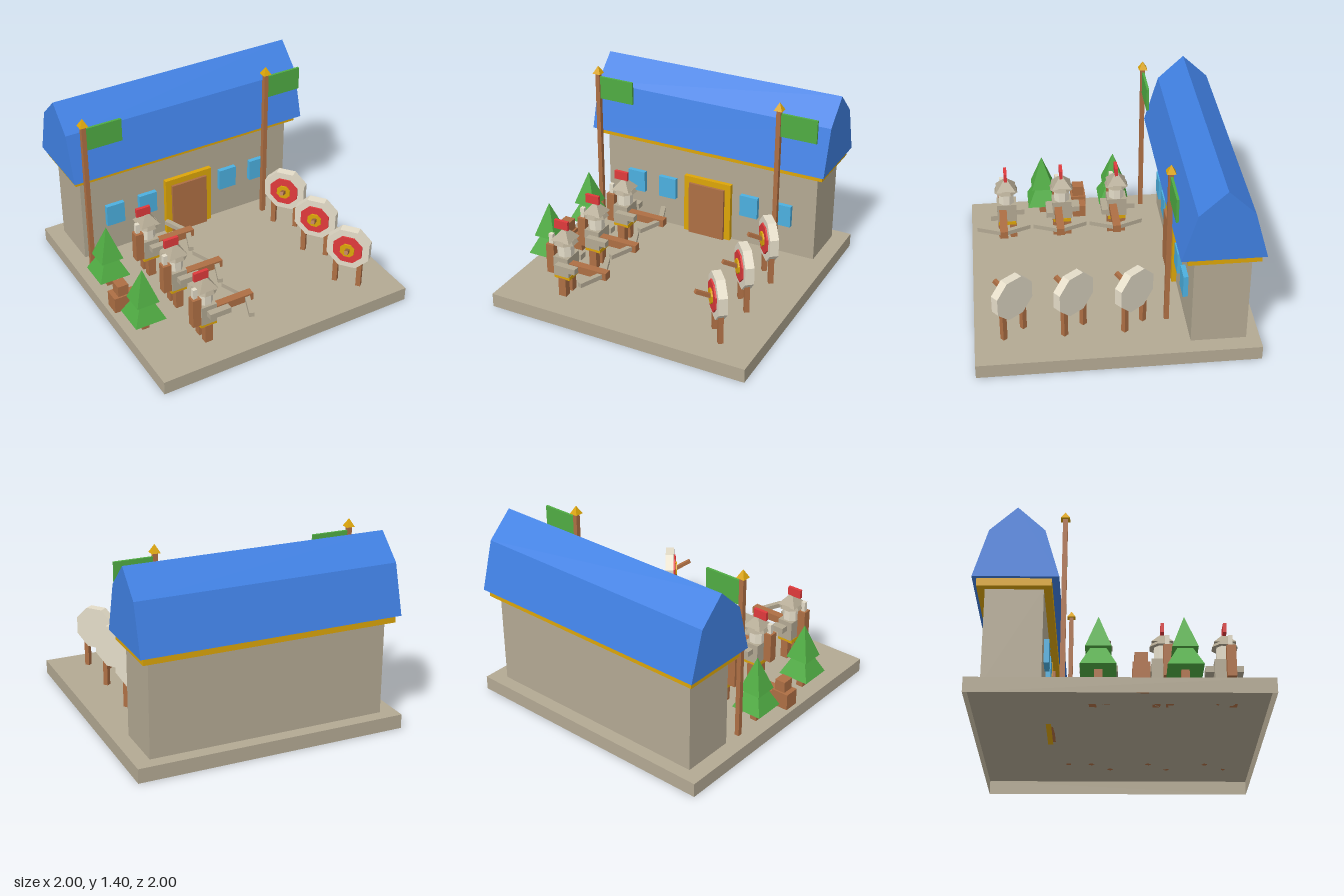
import * as THREE from 'three';

const mat = (name, color) => Object.assign(new THREE.MeshStandardMaterial({ color }), { name });
const M = {
  stone: mat('stone', 0xb3a993),
  pale: mat('pale stone', 0xe4dcc8),
  roof: mat('blue roof', 0x4080e2),
  gold: mat('gold', 0xdca509),
  wood: mat('wood', 0xae6f44),
  green: mat('green', 0x50ac43),
  red: mat('red', 0xe03a3c),
  glass: mat('window blue', 0x4cb0e0),
};
M.stone.side = THREE.DoubleSide; // the base is an open shell

function add(parent, name, geometry, material, x = 0, y = 0, z = 0) {
  const mesh = new THREE.Mesh(geometry, material);
  mesh.name = name;
  mesh.position.set(x, y, z);
  parent.add(mesh);
  return mesh;
}

// Box given by its extents on each axis
function box(parent, name, material, [x0, x1], [y0, y1], [z0, z1]) {
  return add(parent, name, new THREE.BoxGeometry(x1 - x0, y1 - y0, z1 - z0), material,
    (x0 + x1) / 2, (y0 + y1) / 2, (z0 + z1) / 2);
}

// Faceted prism or cone with a flat side facing front; radii are to the flats
function prism(rTop, rBottom, height, sides) {
  const k = 1 / Math.cos(Math.PI / sides);
  const g = new THREE.CylinderGeometry(rTop * k, rBottom * k, height, sides).toNonIndexed();
  g.computeVertexNormals();
  return g.rotateY(Math.PI / sides);
}

function group(parent, name, x = 0, y = 0, z = 0) {
  const g = new THREE.Group();
  g.name = name;
  g.position.set(x, y, z);
  parent.add(g);
  return g;
}

const GROUND = 0.105;

// Slab that is hollow underneath: a box without its bottom face
function buildBase(parent) {
  const slab = new THREE.BoxGeometry(2, GROUND, 2);
  const bottom = slab.groups[3];
  slab.setIndex([...slab.index.array].filter((_, i) => i < bottom.start || i >= bottom.start + bottom.count));
  slab.clearGroups();
  add(parent, 'base', slab, M.stone, 0, GROUND / 2, 0);
}

function buildHall(parent) {
  const hall = group(parent, 'hall');
  box(hall, 'walls', M.stone, [-0.88, 0.88], [GROUND, 0.81], [-0.903, -0.508]);
  box(hall, 'eavesTrim', M.gold, [-0.933, 0.933], [0.8, 0.855], [-0.957, -0.454]);

  // Roof with two slopes on each side
  const profile = new THREE.Shape([[-0.292, 0.855], [0.292, 0.855], [0.19, 1.21], [0, 1.39], [-0.19, 1.21]]
    .map(([s, y]) => new THREE.Vector2(s, y)));
  const roof = new THREE.ExtrudeGeometry(profile, { depth: 1.92, bevelEnabled: false });
  roof.translate(0, 0, -0.96).rotateY(Math.PI / 2);
  add(hall, 'roof', roof, M.roof, 0, 0, -0.695);

  box(hall, 'doorFrame', M.gold, [-0.197, 0.197], [GROUND, 0.583], [-0.51, -0.473]);
  box(hall, 'door', M.wood, [-0.148, 0.148], [GROUND, 0.535], [-0.5, -0.453]);
  for (const x of [-0.62, -0.348, 0.348, 0.62]) {
    box(hall, 'window', M.glass, [x - 0.073, x + 0.073], [0.35, 0.522], [-0.51, -0.473]);
  }
}

function buildFlagpole(parent, x) {
  const pole = group(parent, 'flagpole', x, 0, -0.373);
  box(pole, 'pole', M.wood, [-0.017, 0.017], [GROUND, 1.345], [-0.017, 0.017]);
  add(pole, 'finial', prism(0, 0.032, 0.06, 4), M.gold, 0, 1.37, 0);
  box(pole, 'flag', M.green, [0.015, 0.295], [1.137, 1.315], [-0.012, 0.006]);
}

function buildTree(parent, z) {
  const tree = group(parent, 'tree', -0.855, 0, z);
  box(tree, 'trunk', M.wood, [-0.027, 0.027], [GROUND, 0.23], [-0.027, 0.027]);
  add(tree, 'lowerFoliage', prism(0, 0.119, 0.25, 4), M.green, 0, 0.34, 0);
  add(tree, 'upperFoliage', prism(0, 0.086, 0.255, 4), M.green, 0, 0.4825, 0);
}

function buildCrates(parent) {
  const crates = group(parent, 'crates');
  box(crates, 'largeCrate', M.wood, [-0.968, -0.835], [GROUND, 0.23], [0.08, 0.195]);
  box(crates, 'smallCrate', M.wood, [-0.84, -0.738], [GROUND, 0.203], [0.088, 0.19]);
  box(crates, 'topCrate', M.wood, [-0.932, -0.85], [0.23, 0.315], [0.093, 0.182]);
}

function buildArcher(parent, z) {
  const archer = group(parent, 'archer', -0.535, 0, z);
  for (const s of [-1, 1]) {
    box(archer, 'leg', M.wood, [-0.03, 0.03], [GROUND, 0.25], [s * 0.045 - 0.026, s * 0.045 + 0.026]);
  }
  box(archer, 'belt', M.gold, [-0.062, 0.062], [0.245, 0.275], [-0.067, 0.067]);
  box(archer, 'torso', M.stone, [-0.06, 0.06], [0.272, 0.425], [-0.075, 0.075]);
  box(archer, 'leftArm', M.stone, [-0.02, 0.145], [0.347, 0.39], [0.075, 0.125]);
  box(archer, 'rightArm', M.stone, [-0.02, 0.078], [0.347, 0.39], [-0.135, -0.075]);

  // Head, helmet and crest
  add(archer, 'head', prism(0.057, 0.057, 0.115, 8), M.pale, 0, 0.475, 0);
  add(archer, 'helmetBrim', prism(0.073, 0.087, 0.03, 8), M.stone, 0, 0.54, 0);
  add(archer, 'helmetTop', prism(0.018, 0.075, 0.07, 4), M.stone, 0, 0.585, 0);
  box(archer, 'crest', M.red, [-0.08, 0.03], [0.618, 0.685], [-0.012, 0.012]);

  // Quiver with fletched bolts
  box(archer, 'quiver', M.wood, [-0.122, -0.058], [0.275, 0.505], [0.003, 0.067]);
  box(archer, 'fletching', M.pale, [-0.108, -0.076], [0.505, 0.58], [0.016, 0.046]);

  // Crossbow
  const bow = group(archer, 'crossbow', 0, 0, 0.031);
  box(bow, 'stock', M.wood, [0.05, 0.36], [0.327, 0.385], [-0.029, 0.029]);
  for (const s of [-1, 1]) {
    const limb = add(bow, 'bowLimb', new THREE.BoxGeometry(0.21, 0.034, 0.036), M.stone, 0.285, 0.355, s * 0.097);
    limb.rotation.y = s * 1.19;
  }
}

function buildTarget(parent, z) {
  const target = group(parent, 'target', 0.667, 0, z);
  target.rotation.y = -0.9;
  for (const s of [-1, 1]) {
    box(target, 'post', M.wood, [s * 0.09 - 0.018, s * 0.09 + 0.018], [GROUND, 0.34], [-0.018, 0.018]);
  }
  const disc = (name, r, depth, material, at) =>
    add(target, name, prism(r, r, depth, 8).rotateX(Math.PI / 2), material, 0, 0.43, at);
  disc('board', 0.157, 0.065, M.pale, 0);
  disc('ring', 0.107, 0.014, M.red, 0.038);
  disc('bullseye', 0.052, 0.014, M.gold, 0.05);
  const bolt = add(target, 'bolt', new THREE.BoxGeometry(0.027, 0.027, 0.14), M.wood, 0.012, 0.46, 0.1);
  bolt.rotation.set(-0.48, 0.14, 0, 'YXZ');
}

export function createModel() {
  const model = new THREE.Group();
  model.name = 'archeryRange';
  buildBase(model);
  buildHall(model);
  for (const x of [-0.88, 0.611]) buildFlagpole(model, x);
  for (const z of [-0.141, 0.425]) buildTree(model, z);
  buildCrates(model);
  for (let i = 0; i < 3; i++) {
    const z = -0.135 + i * 0.427;
    buildArcher(model, z);
    buildTarget(model, z + 0.003);
  }
  return model;
}
